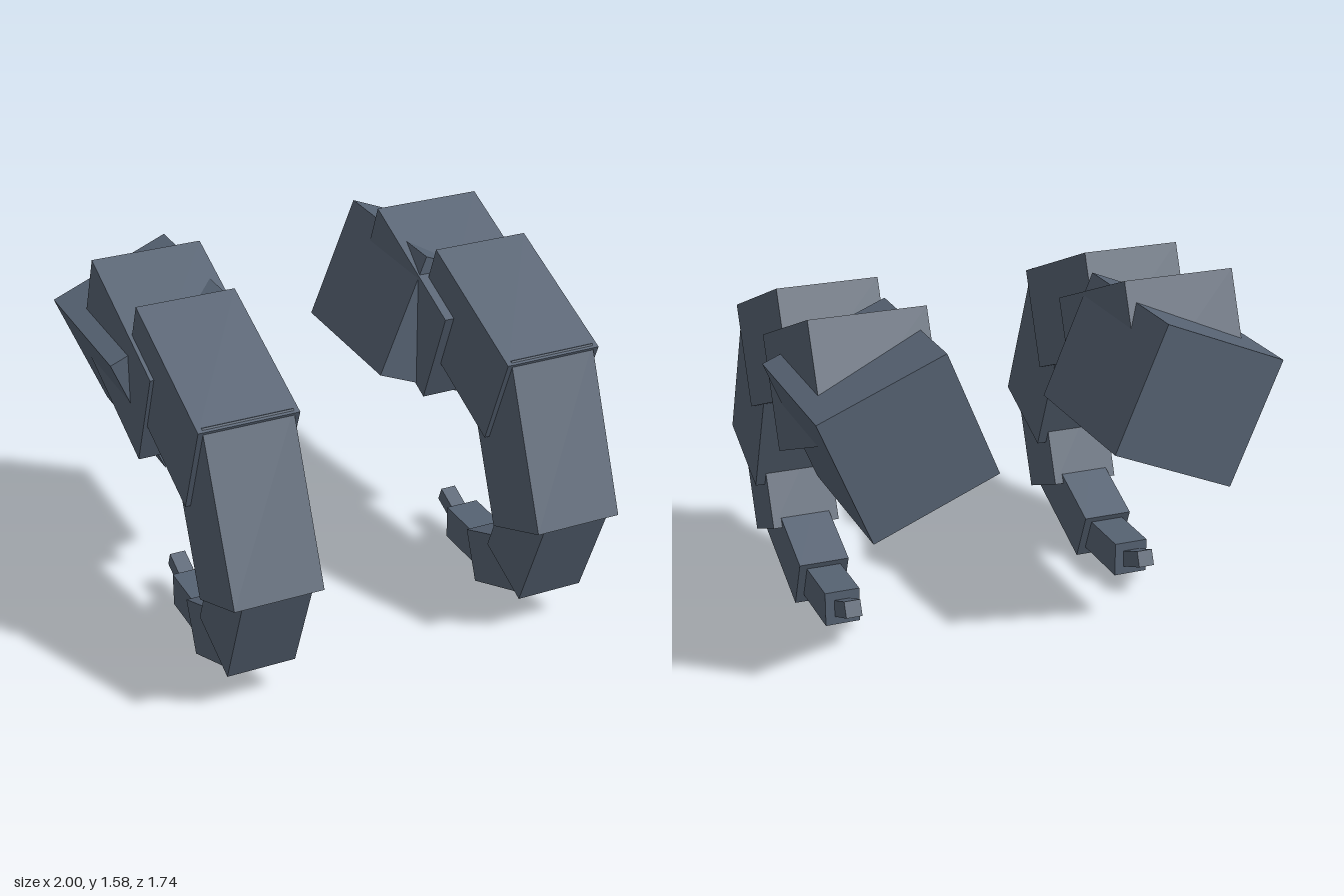
import * as THREE from 'three';

export function createModel() {
  const steel = new THREE.MeshStandardMaterial({ color: 0x566272 });
  steel.name = 'slate blue';
  const deg = Math.PI / 180;

  // Curling chain: name, centre x, y, z, width, thickness, length, pitch in degrees
  const segments = [
    ['upperSegment', 0.676, 1.227, -0.298, 0.492, 0.492, 0.715, 22.5],
    ['shoulderSegment', 0.688, 1.227, 0.19, 0.435, 0.451, 0.705, 22.5],
    ['middleSegment', 0.688, 0.894, 0.5415, 0.39, 0.405, 0.74, 67.5],
    ['lowerSegment', 0.688, 0.464, 0.611, 0.305, 0.315, 0.475, 112.5],
    ['curlSegment', 0.688, 0.208, 0.377, 0.225, 0.242, 0.47, 157.5],
    ['tipSegment', 0.688, 0.127, 0.03, 0.155, 0.155, 0.34, 180],
    ['pointSegment', 0.688, 0.151, -0.2, 0.072, 0.072, 0.2, 202.5],
  ];

  function addBox(parent, name, size, position) {
    const mesh = new THREE.Mesh(new THREE.BoxGeometry(...size), steel);
    mesh.name = name;
    mesh.position.set(...position);
    parent.add(mesh);
    return mesh;
  }

  const model = new THREE.Group();
  model.name = 'curledArms';

  for (const side of [1, -1]) {
    const arm = new THREE.Group();
    arm.name = side > 0 ? 'leftArm' : 'rightArm';

    // Root block, rolled about the z axis
    const root = addBox(arm, 'rootBlock', [0.574, 0.574, 0.735], [side * 0.625, 1.13, -0.5]);
    root.rotation.z = -side * 22.5 * deg;

    for (const [name, x, y, z, w, t, l, pitch] of segments) {
      addBox(arm, name, [w, t, l], [side * x, y, z]).rotation.x = pitch * deg;
    }
    model.add(arm);
  }
  return model;
}
